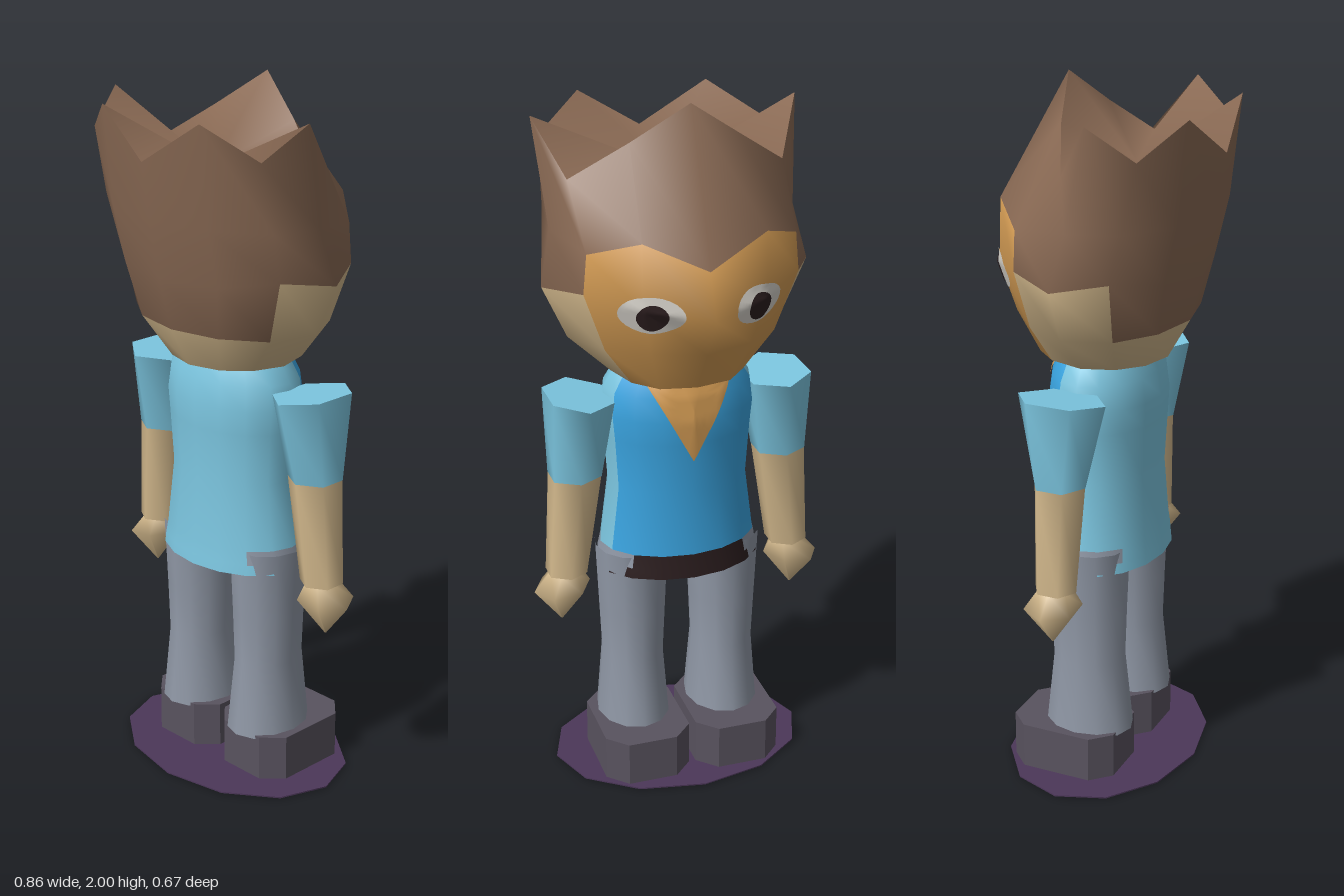
import * as THREE from 'three';

const mat = (name, color) => Object.assign(new THREE.MeshStandardMaterial({ color }), { name });
const M = {
  hair: mat('hair brown', 0x8a6a54),
  skin: mat('skin tan', 0xd2b88c),
  face: mat('face orange', 0xd49c54),
  shirt: mat('shirt light blue', 0x7cc6e0),
  vest: mat('shirt front blue', 0x3aa4e0),
  dark: mat('dark brown', 0x2c1e1f),
  trousers: mat('trouser grey', 0x9098a6),
  shoe: mat('shoe grey', 0x59535f),
  base: mat('base purple', 0x4c3759),
  white: mat('eye white', 0xd8d4cc),
};

// Horizontal ring of points; offset turns it, tilt raises the +x side
function ring(n, y, cx, rx, rz, cz = 0, offset = 0, tilt = 0) {
  return Array.from({ length: n }, (_, i) => {
    const a = offset + (i / n) * Math.PI * 2;
    return [cx + rx * Math.cos(a), y + tilt * Math.cos(a), cz + rz * Math.sin(a)];
  });
}

// Skin over rings listed bottom to top; pick(row, column) chooses the material
function loft(name, rings, pick, bottom, top, topCentre) {
  const n = rings[0].length, pos = rings.flat(2), faces = new Map();
  const add = (m, ...ids) => {
    if (!faces.has(m)) faces.set(m, []);
    faces.get(m).push(...ids);
  };
  for (let j = 0; j < rings.length - 1; j++) {
    for (let i = 0; i < n; i++) {
      const k = (i + 1) % n, a = j * n + i, b = j * n + k, c = b + n, d = a + n;
      add(pick(j, i), a, d, c, a, c, b);
    }
  }
  const cap = (r, m, up, centre) => {
    const start = pos.length / 3;
    const mid = centre || [0, 1, 2].map(k => r.reduce((s, p) => s + p[k], 0) / n);
    pos.push(...r.flat(), ...mid);
    for (let i = 0; i < n; i++) {
      const p = start + i, q = start + (i + 1) % n;
      if (up) add(m, start + n, q, p);
      else add(m, start + n, p, q);
    }
  };
  if (bottom) cap(rings[0], bottom, false);
  if (top) cap(rings[rings.length - 1], top, true, topCentre);

  const g = new THREE.BufferGeometry(), index = [], mats = [...faces.keys()];
  mats.forEach((m, k) => {
    g.addGroup(index.length, faces.get(m).length, k);
    index.push(...faces.get(m));
  });
  g.setAttribute('position', new THREE.Float32BufferAttribute(pos, 3));
  g.setIndex(index);
  g.computeVertexNormals();
  const mesh = new THREE.Mesh(g, mats);
  mesh.name = name;
  return mesh;
}

// Thin painted patch laid on the -z side of a mesh; outline runs anticlockwise in x, y
function decal(name, target, outline, cx, cy, material, lift) {
  const ray = new THREE.Raycaster(), dir = new THREE.Vector3(0, 0, 1);
  const n = outline.length, steps = 8, pos = [], index = [];
  for (let s = 0; s <= steps; s++) {
    for (const [x, y] of outline) {
      const px = cx + (x - cx) * s / steps, py = cy + (y - cy) * s / steps;
      ray.set(new THREE.Vector3(px, py, -1), dir);
      const hit = ray.intersectObject(target)[0];
      pos.push(px, py, (hit ? hit.point.z : -0.12) - lift);
    }
  }
  for (let s = 0; s < steps; s++) {
    for (let i = 0; i < n; i++) {
      const a = s * n + i, b = s * n + (i + 1) % n;
      index.push(a, b + n, a + n, a, b, b + n);
    }
  }
  const g = new THREE.BufferGeometry();
  g.setAttribute('position', new THREE.Float32BufferAttribute(pos, 3));
  g.setIndex(index);
  g.computeVertexNormals();
  const mesh = new THREE.Mesh(g, material);
  mesh.name = name;
  return mesh;
}

const ellipse = (cx, cy, rx, ry) => Array.from({ length: 24 }, (_, i) => {
  const a = (i / 24) * Math.PI * 2;
  return [cx + rx * Math.cos(a), cy + ry * Math.sin(a)];
});

function makeHead() {
  // Half rings from face centre round the +x side to the back
  const halves = [
    [[0, 1.235, -0.185], [0.1, 1.235, -0.165], [0.16, 1.235, -0.1], [0.19, 1.235, 0], [0.16, 1.235, 0.09], [0.095, 1.235, 0.15], [0, 1.235, 0.175]],
    [[0, 1.36, -0.262], [0.14, 1.36, -0.215], [0.24, 1.35, -0.125], [0.31, 1.35, 0], [0.265, 1.35, 0.13], [0.15, 1.35, 0.21], [0, 1.35, 0.24]],
    [[0, 1.48, -0.335], [0.17, 1.5, -0.25], [0.3, 1.52, -0.14], [0.378, 1.5, 0], [0.31, 1.52, 0.14], [0.18, 1.5, 0.24], [0, 1.5, 0.28]],
    [[0, 1.6, -0.285], [0.17, 1.68, -0.243], [0.29, 1.63, -0.14], [0.345, 1.65, 0.03], [0.325, 1.66, 0.18], [0.185, 1.66, 0.275], [0, 1.66, 0.312]],
    [[0, 2, -0.12], [0.15, 1.895, -0.07], [0.3, 1.79, 0], [0.37, 1.94, 0.1], [0.32, 1.85, 0.22], [0.185, 1.94, 0.305], [0, 1.82, 0.335]],
  ];
  const rings = halves.map(h => [...h, ...h.slice(1, 6).reverse().map(([x, y, z]) => [-x, y, z])]);
  const head = loft('head', rings, (row, i) => {
    const k = Math.min(i, 11 - i);
    if (row === 3) return M.hair;
    if (k < 2) return M.face;
    return row === 2 || (row === 1 && k > 3) ? M.hair : M.skin;
  }, M.skin, M.hair, [0, 1.77, 0.08]);
  const group = new THREE.Group();
  group.name = 'headGroup';
  group.add(head);
  for (const s of [1, -1]) {
    group.add(decal('eyeWhite', head, ellipse(0.148 * s, 1.485, 0.078, 0.055), 0.148 * s, 1.485, M.white, 0.004));
    group.add(decal('pupil', head, ellipse(0.148 * s, 1.48, 0.038, 0.04), 0.148 * s, 1.48, M.dark, 0.008));
  }
  return group;
}

function makeTorso() {
  const profile = [[0.64, 0.24, 0.168], [0.67, 0.237, 0.165], [0.71, 0.228, 0.16], [0.9, 0.203, 0.147],
    [1.05, 0.213, 0.155], [1.12, 0.22, 0.158], [1.19, 0.212, 0.148], [1.24, 0.18, 0.13]];
  const torso = loft('shirt', profile.map(([y, rx, rz]) => ring(16, y, 0, rx, rz)), (row, i) => {
    const a = (i + 0.5) * 22.5;              // 270 degrees is the chest
    const chest = a > 202.5 && a < 337.5;
    const side = Math.abs(Math.cos(a * Math.PI / 180)) > 0.71;
    if (row === 1 && side) return M.trousers; // gap at the hips
    if (row < 2 && chest) return M.dark;      // belt
    return chest ? M.vest : M.shirt;
  }, M.shirt, M.shirt);
  // V neck opening
  const corners = [[-0.12, 1.225], [0, 1.0], [0.12, 1.225]], outline = [];
  corners.forEach((p, k) => {
    const q = corners[(k + 1) % 3];
    for (let t = 0; t < 8; t++) outline.push([p[0] + (q[0] - p[0]) * t / 8, p[1] + (q[1] - p[1]) * t / 8]);
  });
  const group = new THREE.Group();
  group.name = 'torso';
  group.add(torso, decal('neckOpening', torso, outline, 0, 1.15, M.face, 0.005));
  return group;
}

function makeArm(s) {
  const hex = (y, cx, rx, rz, tilt = 0) => ring(6, y, cx * s, rx / 0.866, rz, -0.01, Math.PI / 6, tilt * s);
  const group = new THREE.Group();
  group.name = s > 0 ? 'leftArm' : 'rightArm';
  group.add(
    loft('sleeve', [hex(0.94, 0.302, 0.068, 0.077), hex(1.178, 0.287, 0.086, 0.13, 0.009)], () => M.shirt, null, M.shirt),
    loft('forearm', [hex(0.638, 0.333, 0.053, 0.062), hex(0.94, 0.302, 0.067, 0.076)], () => M.skin, M.skin),
    loft('hand', [ring(6, 0.485, 0.35 * s, 0.002, 0.002, -0.012), ring(6, 0.59, 0.347 * s, 0.082, 0.082, -0.012, 0, -0.008 * s),
      ring(6, 0.64, 0.335 * s, 0.046, 0.048, -0.01)], () => M.skin, null, M.skin),
  );
  return group;
}

function makeLeg(s) {
  const profile = [[0.13, 0.107, 0.13], [0.35, 0.09, 0.106], [0.5, 0.097, 0.11], [0.7, 0.106, 0.118]];
  const group = new THREE.Group();
  group.name = s > 0 ? 'leftLeg' : 'rightLeg';
  group.add(loft('trouserLeg', profile.map(([y, rx, rz]) => ring(12, y, 0.137 * s, rx, rz)), () => M.trousers, M.trousers));
  // Shoe: block with cut corners, toes toward -z
  const w = 0.1275, l = 0.158, c = 0.055;
  const shape = new THREE.Shape([[w, -l + c], [w, l - c], [w - c, l], [-w + c, l], [-w, l - c], [-w, -l + c], [-w + c, -l], [w - c, -l]]
    .map(([x, y]) => new THREE.Vector2(x, y)));
  const shoe = new THREE.Mesh(new THREE.ExtrudeGeometry(shape, { depth: 0.14, bevelEnabled: false }).rotateX(-Math.PI / 2), M.shoe);
  shoe.name = 'shoe';
  shoe.position.set(0.1375 * s, 0, -0.05);
  group.add(shoe);
  return group;
}

export function createModel() {
  const model = new THREE.Group();
  model.name = 'figure';
  model.add(makeHead(), makeTorso());
  for (const s of [1, -1]) model.add(makeArm(s), makeLeg(s));
  // Flat oval base
  model.add(loft('base', [ring(12, 0.002, 0, 0.375, 0.274), ring(12, 0.006, 0, 0.375, 0.274)], () => M.base, M.base, M.base));
  return model;
}
